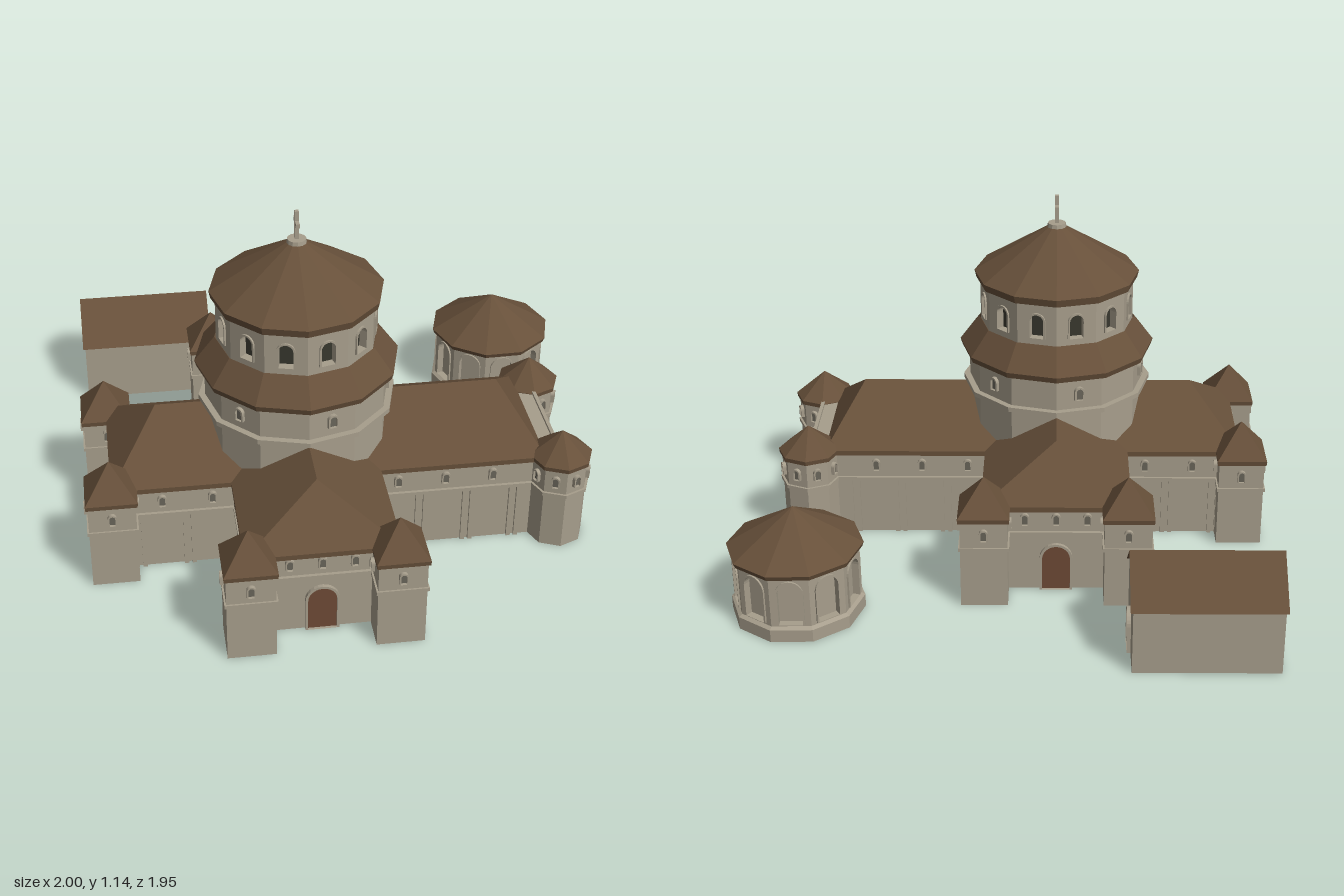
import * as THREE from 'three';

const mat = (name, color) => {
  const m = new THREE.MeshStandardMaterial({ color, side: THREE.DoubleSide });
  m.name = name;
  return m;
};
const STONE = mat('stone', 0xa79e8c);
const ROOF = mat('roofTiles', 0x67503a);
const DOOR = mat('doorWood', 0x6e4a36);
const DARK = mat('darkOpening', 0x38372e);
const PANE = mat('windowPane', 0x69655a);
const TURN = Math.PI / 8; // church axis against the world axes

const flat = (g) => {
  const f = g.index ? g.toNonIndexed() : g;
  f.computeVertexNormals();
  return f;
};
function add(parent, name, geo, material, x = 0, y = 0, z = 0) {
  const m = new THREE.Mesh(flat(geo), material);
  m.name = name;
  m.position.set(x, y, z);
  parent.add(m);
  return m;
}
function sub(parent, name, x = 0, y = 0, z = 0, ry = 0) {
  const g = new THREE.Group();
  g.name = name;
  g.position.set(x, y, z);
  g.rotation.y = ry;
  parent.add(g);
  return g;
}
const box = (p, name, m, w, h, d, x, y, z) => add(p, name, new THREE.BoxGeometry(w, h, d), m, x, y, z);

// Polygonal ring, cone or drum between two heights
function prism(p, name, m, n, r0, r1, y0, y1, open = true) {
  const g = new THREE.CylinderGeometry(r1, r0, y1 - y0, n, 1, open);
  if (n === 4) g.rotateY(Math.PI / 4);
  return add(p, name, g, m, 0, (y0 + y1) / 2, 0);
}
// Faces given as lists of corner points, anticlockwise from outside
function faces(list) {
  const v = [];
  for (const f of list)
    for (let i = 1; i < f.length - 1; i++) v.push(...f[0], ...f[i], ...f[i + 1]);
  const g = new THREE.BufferGeometry();
  g.setAttribute('position', new THREE.Float32BufferAttribute(v, 3));
  return g;
}
// Vertical wall strip along a ground line of [x, z] points
const walls = (pts, y0, y1) => faces(pts.slice(1).map(([x, z], i) => {
  const [a, b] = pts[i];
  return [[a, y0, b], [x, y0, z], [x, y1, z], [a, y1, b]];
}));

// Round-headed outline, its sill at y
function arch(T, w, h, x = 0, y = 0) {
  const s = new T(), r = w / 2;
  s.moveTo(x - r, y);
  s.lineTo(x + r, y);
  s.lineTo(x + r, y + h - r);
  s.absarc(x, y + h - r, r, 0, Math.PI, false);
  s.lineTo(x - r, y);
  return s;
}
const slab = (shape, depth) =>
  new THREE.ExtrudeGeometry(shape, { depth, bevelEnabled: false, curveSegments: 6 });
// Wall panel with arched holes [x, y, w, h]; outer face on z = 0
function pierced(w, h, holes, depth) {
  const s = new THREE.Shape([[-w / 2, 0], [w / 2, 0], [w / 2, h], [-w / 2, h]].map((q) => new THREE.Vector2(...q)));
  for (const [x, y, a, b] of holes) s.holes.push(arch(THREE.Path, a, b, x, y));
  return slab(s, depth).translate(0, 0, -depth);
}
// Raised arched surround with a thin plate inside
function opening(p, name, w, h, x, y, z, ry, fill, t = 0.006) {
  const g = sub(p, name, x, y, z, ry);
  const s = arch(THREE.Shape, w + 2 * t, h + t);
  s.holes.push(arch(THREE.Path, w, h));
  add(g, name + 'Surround', slab(s, 0.012), STONE);
  if (fill) add(g, name + 'Plate', slab(arch(THREE.Shape, w, h), 0.003), fill);
}
const smallWindow = (p, x, z, ry, y = 0.238) => opening(p, 'window', 0.018, 0.036, x, y, z, ry, PANE, 0.005);

// Corner tower with n sides, pyramid roof and one window per chosen face
function tower(parent, x, z, n, r, top) {
  const t = sub(parent, 'cornerTower', x, 0, z);
  prism(t, 'towerWall', STONE, n, r, r, 0, 0.31);
  prism(t, 'towerStringCourse', STONE, n, r + 0.008, r + 0.008, 0.2, 0.212, false);
  prism(t, 'towerEave', ROOF, n, r + 0.008, r + 0.01, 0.3, 0.315, false);
  prism(t, 'towerRoof', ROOF, n, r + 0.01, 0, 0.315, top);
  const ap = r * Math.cos(Math.PI / n);
  for (let k = 0; k < n; k++) {
    const a = ((k + (n === 4 ? 0 : 0.5)) * 2 * Math.PI) / n;
    smallWindow(t, Math.sin(a) * ap, Math.cos(a) * ap, a);
  }
}

// One arm of the cross, running out along +z
function arm(church, name, ry, len, windows, hasDoor) {
  const g = sub(church, name, 0, 0, 0, ry);
  const hw = 0.225, end = len - 0.03, W = 0.24, Y = 0.315, ridge = 0.47, tip = len - (len > 0.7 ? 0.12 : 0.16);
  add(g, 'armWalls', walls([[hw, hw], [hw, end], [-hw, end], [-hw, hw]].reverse(), 0, 0.31), STONE);
  add(g, 'armEave', walls([[W, W], [W, len], [-W, len], [-W, W]].reverse(), 0.298, Y), ROOF);
  const top = [0, ridge, 0], peak = [0, ridge, tip];
  add(g, 'armRoof', faces([
    [top, peak, [W, Y, len], [W, Y, W]],
    [top, [-W, Y, W], [-W, Y, len], peak],
    [peak, [-W, Y, len], [W, Y, len]],
  ]), ROOF);
  for (const s of [-1, 1]) {
    box(g, 'stringCourse', STONE, 0.02, 0.012, end - hw, s * hw, 0.206, (end + hw) / 2);
    for (const z of windows) {
      smallWindow(g, s * hw, z, s * Math.PI / 2);
      for (const d of [0.065, 0.09])
        box(g, 'pilaster', STONE, 0.018, 0.2, 0.014, s * hw, 0.1, z + d);
    }
  }
  box(g, 'endStringCourse', STONE, 2 * hw, 0.012, 0.02, 0, 0.206, end);
  if (len < 0.7) {
    for (const x of [-0.1, 0, 0.1]) smallWindow(g, x, end, 0);
    for (const s of [-1, 1]) tower(g, s * 0.228, 0.62, 4, 0.075 * Math.SQRT2, 0.425);
  }
  if (hasDoor) opening(g, 'door', 0.09, 0.16, 0, 0, end, 0, DOOR, 0.008);
  return g;
}

// Arched porch and gallery between the two eight-sided towers
function porch(g) {
  const holes = [[0, 0.004, 0.085, 0.13]];
  for (let i = -2; i <= 2; i++) holes.push([i * 0.044, 0.225, 0.034, 0.062]);
  add(g, 'galleryFront', pierced(0.27, 0.31, holes, 0.018), STONE, 0, 0, 0.835);
  box(g, 'galleryBack', DARK, 0.26, 0.09, 0.006, 0, 0.25, 0.785);
  box(g, 'galleryFloor', STONE, 0.27, 0.012, 0.09, 0, 0.206, 0.795);
  box(g, 'galleryTerrace', STONE, 0.27, 0.01, 0.1, 0, 0.308, 0.79);
  for (const z of [0.765, 0.832]) box(g, 'terraceRim', STONE, 0.27, 0.01, 0.012, 0, 0.317, z);
  for (const s of [-1, 1]) tower(g, s * 0.218, 0.834, 8, 0.094, 0.4);
}

// Twelve-sided drum with two roofs and a cross
function dome(church) {
  const d = sub(church, 'dome');
  prism(d, 'lowerDrum', STONE, 12, 0.297, 0.297, 0.31, 0.62);
  prism(d, 'drumMoulding', STONE, 12, 0.318, 0.318, 0.482, 0.498, false);
  prism(d, 'skirtEave', ROOF, 12, 0.322, 0.328, 0.608, 0.628, false);
  prism(d, 'skirtRoof', ROOF, 12, 0.328, 0.262, 0.628, 0.712);
  prism(d, 'domeEave', ROOF, 12, 0.27, 0.276, 0.853, 0.878, false);
  prism(d, 'domeRoof', ROOF, 12, 0.276, 0.028, 0.878, 1.035);
  prism(d, 'domeCap', STONE, 12, 0.032, 0.03, 1.03, 1.046, false);
  const side = 2 * 0.257 * Math.sin(Math.PI / 12), ap = 0.257 * Math.cos(Math.PI / 12);
  for (let k = 0; k < 12; k++) {
    const f = sub(d, 'drumBay', 0, 0, 0, ((k + 0.5) * Math.PI) / 6);
    add(f, 'drumPanel', pierced(side, 0.155, [[0, 0.028, 0.046, 0.082]], 0.022), STONE, 0, 0.705, ap);
    opening(f, 'drumWindow', 0.046, 0.082, 0, 0.733, ap - 0.006, 0, null);
    box(f, 'drumWindowGlass', DARK, 0.06, 0.1, 0.004, 0, 0.775, ap - 0.026);
    if (k % 2 === 0) opening(f, 'lowerDrumWindow', 0.022, 0.04, 0, 0.53, 0.287, 0, PANE);
  }
  box(d, 'crossPost', STONE, 0.013, 0.1, 0.013, 0, 1.09, 0);
  box(d, 'crossBar', STONE, 0.012, 0.013, 0.062, 0, 1.102, 0);
}

// Separate ten-sided building with a blind arcade
function rotunda(root) {
  const b = sub(root, 'rotunda', 0.532, 0, -0.76, 0.105);
  const R = 0.2, side = 2 * R * Math.sin(Math.PI / 10), ap = R * Math.cos(Math.PI / 10);
  prism(b, 'plinth', STONE, 10, 0.212, 0.212, 0, 0.042);
  prism(b, 'plinthStep', STONE, 10, 0.212, 0.2, 0.042, 0.05);
  prism(b, 'innerWall', STONE, 10, 0.18, 0.18, 0.04, 0.225);
  prism(b, 'eave', ROOF, 10, 0.21, 0.216, 0.22, 0.236, false);
  prism(b, 'roof', ROOF, 10, 0.216, 0, 0.236, 0.366);
  for (let k = 0; k < 10; k++) {
    const f = sub(b, 'arcadeBay', 0, 0, 0, ((k + 0.5) * Math.PI) / 5);
    add(f, 'arcadePanel', pierced(side, 0.18, [[0, 0.012, 0.074, 0.148]], 0.018), STONE, 0, 0.045, ap);
    opening(f, 'arcadeArch', 0.074, 0.148, 0, 0.057, ap - 0.006, 0, null);
  }
}

// Plain gabled house
function house(root) {
  const h = sub(root, 'house', -0.725, 0, -0.468, TURN);
  const a = 0.226, b = 0.146, A = 0.234, B = 0.156, E = 0.215, top = 0.34;
  add(h, 'houseWalls', walls([[a, b], [a, -b], [-a, -b], [-a, b], [a, b]].reverse(), 0, 0.222), STONE);
  for (const s of [-1, 1]) {
    const tri = [[s * a, 0.222, b], [s * a, 0.222, -b], [s * a, top - 0.005, 0]];
    add(h, 'houseGable', faces([s > 0 ? tri : tri.reverse()]), STONE);
    const q = [[-A, E, s * B], [A, E, s * B], [A, top, 0], [-A, top, 0]];
    add(h, 'houseRoof', faces([s > 0 ? q : q.reverse()]), ROOF);
  }
  opening(h, 'houseDoor', 0.075, 0.13, 0, 0, 0, 0, DOOR);
  h.children[h.children.length - 1].position.x = a;
  h.children[h.children.length - 1].rotation.y = Math.PI / 2;
}

export function createModel() {
  const root = new THREE.Group();
  root.name = 'domedChurch';
  const church = sub(root, 'church', 0.045, 0, 0.205, TURN);
  arm(church, 'southArm', 0, 0.62, [0.3, 0.46], true);
  arm(church, 'northArm', Math.PI, 0.62, [0.3, 0.46], true);
  arm(church, 'westArm', -Math.PI / 2, 0.62, [0.3, 0.46], false);
  porch(arm(church, 'eastArm', Math.PI / 2, 0.78, [0.3, 0.455, 0.61], true));
  dome(church);
  rotunda(root);
  house(root);
  return root;
}
